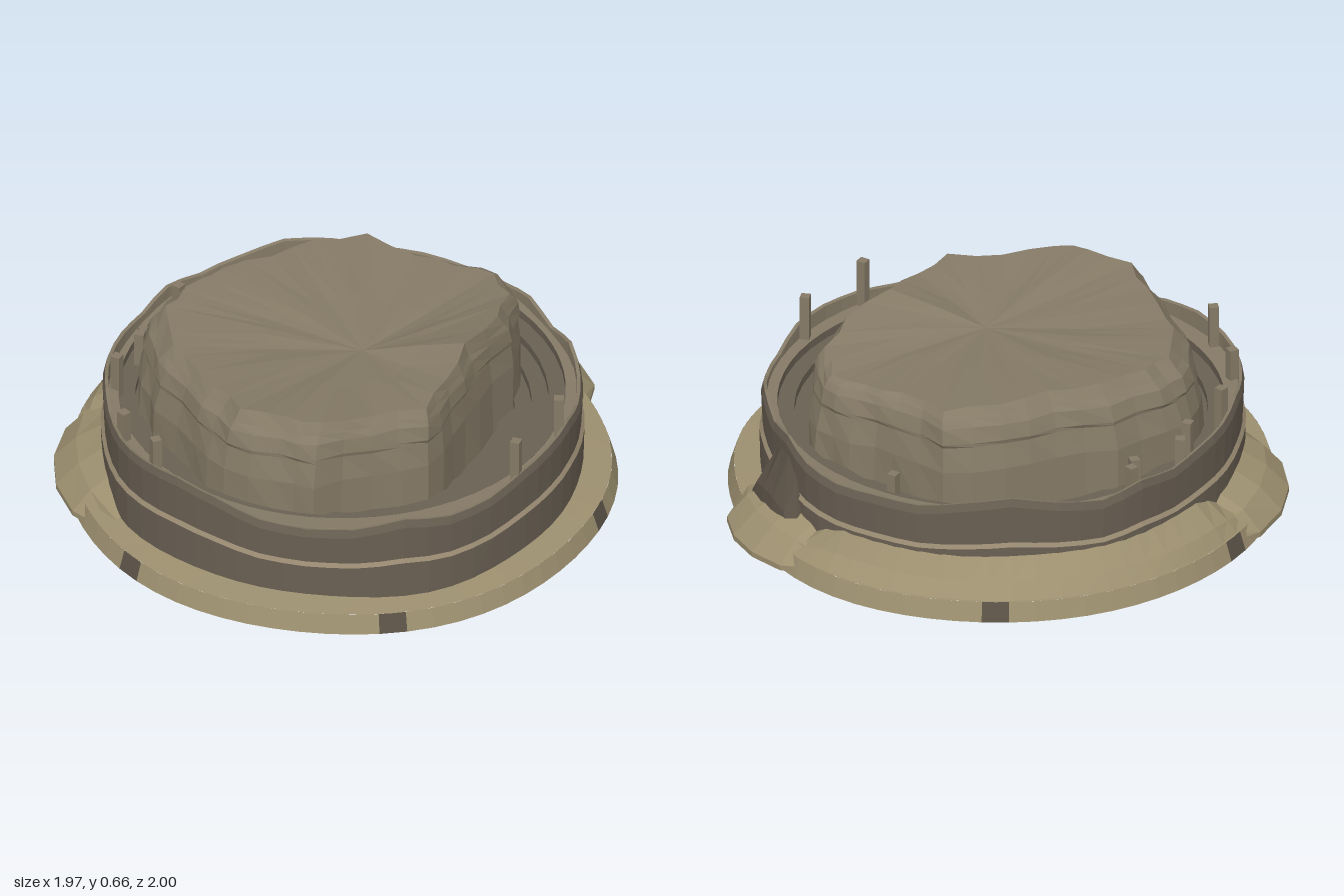
import * as THREE from 'three';

const TAU = Math.PI * 2, RAD = Math.PI / 180;
const paint = (color) => new THREE.MeshStandardMaterial({ color, flatShading: true, side: THREE.DoubleSide });
const sand = paint(0x9d9070), stone = paint(0x6b6154), rock = paint(0x857a66), strip = paint(0x94866e), shade = paint(0x5c5347);

// Surface through rows of cross-sections: at(t, j) gives the point of row j at step t
function sheet(name, material, steps, rows, at) {
  const pos = [], idx = [];
  for (let i = 0; i <= steps; i++) for (let j = 0; j < rows; j++) pos.push(...at(i / steps, j));
  for (let i = 0; i < steps; i++) for (let j = 0; j < rows - 1; j++) {
    const a = i * rows + j, b = a + rows;
    idx.push(a, a + 1, b, b, a + 1, b + 1);
  }
  const g = new THREE.BufferGeometry();
  g.setAttribute('position', new THREE.Float32BufferAttribute(pos, 3));
  g.setIndex(idx);
  g.computeVertexNormals();
  const mesh = new THREE.Mesh(g, material);
  mesh.name = name;
  return mesh;
}

// Angle runs from +x towards +z
const polar = (r, a, y) => [r * Math.cos(a), y, r * Math.sin(a)];
const band = (name, material, from, to, steps, profile) => sheet(name, material, steps, profile(from).length, (t, j) => {
  const a = from + (to - from) * t, [r, y] = profile(a)[j];
  return polar(r, a, y);
});

// Worn height of the outer wall, every 11.25 degrees
const crest = [.41, .41, .40, .375, .375, .40, .36, .35, .36, .40, .42, .41, .40, .40, .43, .41,
  .40, .38, .40, .37, .39, .42, .40, .37, .37, .36, .37, .40, .37, .41, .375, .37];
function wallTop(a) {
  const t = ((a / TAU) % 1 + 1) % 1 * 32, i = Math.floor(t) % 32;
  return THREE.MathUtils.lerp(crest[i], crest[(i + 1) % 32], t - Math.floor(t));
}
// Plan of wall and footing: slightly squared, fuller towards the front
const corner = (a) => Math.sin(2 * a) ** 2;
const wallR = (a) => .858 - .012 * Math.cos(2 * a) + .01 * Math.cos(a) + .004 * Math.sin(9 * a)
  + corner(a) * (.01 + .03 * Math.sin(a) - .006 * Math.cos(a) + .012 * Math.sin(2 * a));
const footR = (a) => .98 + .018 * Math.sin(a) ** 2 + corner(a) * (.018 * Math.sin(a) + .016 * Math.sin(2 * a) - .004);
const bowlY = (r) => .35 - (.79 - r) * .5;

// Mound footprint as x, z pairs, with the height of its rim
const outline = [[.55, -.25], [.52, -.45], [.41, -.6], [.25, -.61], [.08, -.6], [-.15, -.65], [-.33, -.52], [-.45, -.35],
  [-.6, -.2], [-.69, 0], [-.72, .13], [-.65, .3], [-.55, .42], [-.35, .58], [-.2, .7], [0, .71], [.14, .69], [.3, .54],
  [.48, .42], [.5, .22], [.51, 0]];
const rimY = [.64, .61, .59, .59, .6, .61, .625, .635, .64, .64, .64, .635, .63, .635, .645, .65, .64, .62, .625, .63, .66];

export function createModel() {
  const model = new THREE.Group();

  // Round footing with a darker slab every 60 degrees
  const riser = (a) => [[footR(a), 0], [footR(a) - .022, .07]];
  for (let k = 0; k < 6; k++) {
    const a = k * 60 * RAD, w = 2.8 * RAD;
    model.add(band('footingSlab', shade, a - w, a + w, 1, riser));
    model.add(band('footingRim', sand, a + w, a + 60 * RAD - w, 10, riser));
  }
  model.add(band('footingTop', sand, 0, TAU, 66, (a) => [[footR(a) - .022, .07], [wallR(a) - .02, .08]]));

  // Earth bank piled against the back of the wall
  const b0 = 168 * RAD, b1 = 294 * RAD;
  model.add(band('earthBank', sand, b0, b1, 24, (a) => {
    const rise = Math.min(1, 3 * Math.max(0, Math.sin((a - b0) / (b1 - b0) * Math.PI)));
    return [[footR(a) - .025, .073], [.92, .079 + .045 * rise], [wallR(a) - .004, .083 + .12 * rise]];
  }));

  // Outer wall in two courses with a pale ledge between them
  const ledge = (a) => .215 + .45 * (wallTop(a) - .385);
  model.add(band('lowerWall', stone, 0, TAU, 64, (a) => [[wallR(a), .07], [wallR(a) + .004, ledge(a)]]));
  model.add(band('wallLedge', strip, 0, TAU, 64, (a) => [[wallR(a) + .004, ledge(a)], [wallR(a) - .008, ledge(a) + .013]]));
  model.add(band('upperWall', stone, 0, TAU, 64, (a) => {
    const r = wallR(a), h = wallTop(a);
    return [[r - .008, ledge(a) + .013], [r - .002, h - .03], [r - .01, h]];
  }));
  model.add(band('parapet', rock, 0, TAU, 64, (a) => {
    const r = wallR(a), h = wallTop(a);
    return [[r - .01, h], [r - .022, h - .003], [r - .024, .353], [.79, .35]];
  }));

  // Stepped bowl down to a small floor at the middle
  const steps = [];
  for (let k = 0; k < 11; k++) {
    const r = .79 - k * .06;
    steps.push([r, bowlY(r)], [r, bowlY(r - .06)]);
  }
  steps.push([.13, bowlY(.13)], [.001, bowlY(.13)]);
  model.add(band('steppedBowl', stone, 0, TAU, 48, () => steps));

  // Central mound: weathered layers following the footprint, two facets per corner
  const n = outline.length, facets = n * 2, cx = -.08, cz = .03;
  const layers = [[1, 0], [.995, .41], [.968, .5], [.972, .515], [.95, .57], [.92, .595], [.88, 0]];
  const moundPoint = (t, j) => {
    const k = Math.round(t * facets) % facets, i = k >> 1, m = (i + k % 2) % n;
    const s = layers[j][0] + .015 * Math.sin(k * 2.4 + j * .5);
    const x = cx + ((outline[i][0] + outline[m][0]) / 2 - cx) * s + (1 - layers[j][0]) * .25;
    const z = cz + ((outline[i][1] + outline[m][1]) / 2 - cz) * s;
    const rim = (rimY[i] + rimY[m]) / 2;
    const y = j === 0 ? bowlY(Math.hypot(x, z)) - .03 : j === 6 ? rim : layers[j][1] + (rim - .63) * .5;
    return [x, y, z];
  };
  model.add(sheet('mound', rock, facets, layers.length, moundPoint));

  // Sunken cap creased towards an off-centre low point
  const apex = [.1, .58, .06];
  model.add(sheet('moundCap', rock, facets, 3, (t, j) => {
    const crease = j === 1 ? .005 * Math.sin(Math.round(t * facets) % facets * 1.3) : 0;
    return moundPoint(t, 6).map((v, k) => THREE.MathUtils.lerp(v, apex[k], j / 2) + (k === 1 ? crease : 0));
  }));

  // Rubble slopes spilled against the wall
  const spill = (name, material, from, to, top, reach) => {
    const a0 = from * RAD, a1 = to * RAD;
    model.add(band(name, material, a0, a1, 5, (a) => {
      const b = Math.sqrt(Math.max(0, Math.sin((a - a0) / (a1 - a0) * Math.PI)));
      return [[wallR(a) - .005, .08 + (top - .08) * b], [.9 + reach * .4 * b, .08 + (top - .08) * .4 * b],
        [.92 + reach * b, .035], [.92 + reach * b, .015]];
    }));
  };
  spill('sideRubble', sand, 133, 182, .18, .1);
  spill('backRubble', sand, -78, -40, .18, .115);
  spill('breachRubble', shade, -68, -43, .34, .01);

  // Broken posts along the walkway: x, z, top
  const posts = [[.77, .33, .53], [.82, .02, .52], [-.44, .72, .51], [-.62, .55, .47], [-.75, .26, .49],
    [-.74, .05, .45], [-.75, -.02, .42], [-.67, -.2, .4], [-.72, -.3, .43], [.02, -.7, .38]];
  posts.forEach(([x, z, top], i) => {
    const foot = Math.min(.35, bowlY(Math.hypot(x, z))) - .03;
    const post = new THREE.Mesh(new THREE.BoxGeometry(.034, top - foot, .034), rock);
    post.position.set(x, (top + foot) / 2, z);
    post.rotation.y = i * .35;
    post.name = 'post';
    model.add(post);
  });

  // Fallen blocks scattered over the hidden steps
  let seed = 7;
  const rand = () => (seed = (seed * 16807) % 2147483647) / 2147483647;
  for (let i = 0; i < 24; i++) {
    const r = .2 + .28 * rand(), a = rand() * TAU, s = .025 + .03 * rand();
    const block = new THREE.Mesh(new THREE.BoxGeometry(s * 1.4, s, s), stone);
    block.position.set(...polar(r, a, bowlY(r) + .01));
    block.rotation.set(rand() * 3, rand() * 3, rand() * 3);
    block.name = 'fallenBlock';
    model.add(block);
  }
  return model;
}
